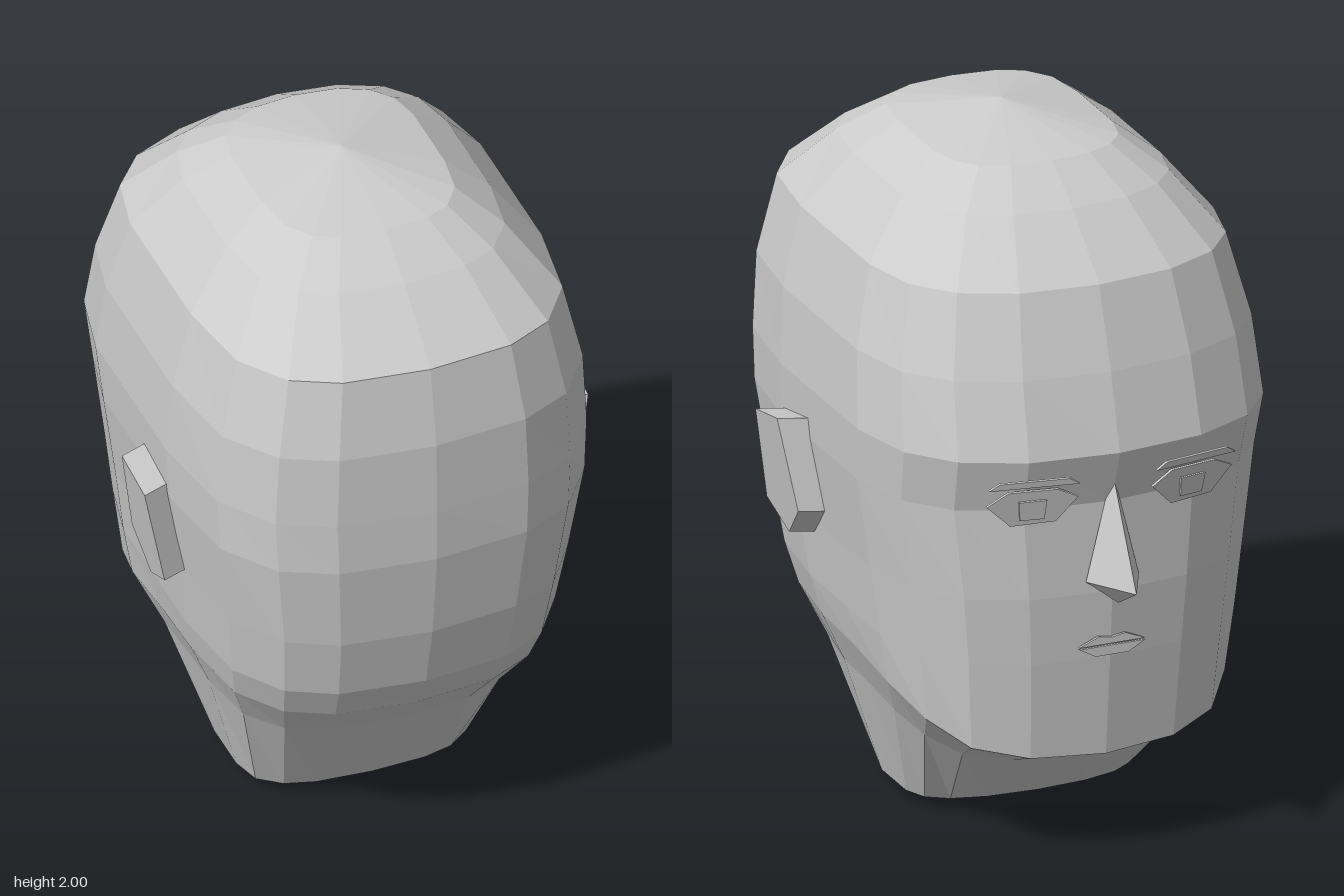
import * as THREE from 'three';
import { ConvexGeometry } from 'three/addons/geometries/ConvexGeometry.js';

const V = (x, y, z) => new THREE.Vector3(x, y, z);

// Half outline of a horizontal slice, back of the head to the face: [width, depth]
const HALF = [[0, 1], [0.48, 0.96], [0.74, 0.86], [0.93, 0.65], [1, 0.28], [1, -0.05],
  [1, -0.41], [0.92, -0.68], [0.74, -0.85], [0.44, -0.96], [0, -1]];
// How strongly each outline point follows the drop towards the chin
const DROP = [0, 0, 0, 0, 0, 0.06, 0.2, 0.48, 0.8, 0.95, 1];

// Slices from crown to neck: [y, half width, back z, face z, drop at the face]
const SLICES = [
  [1.94, 0.27, 0.44, -0.25, 0],
  [1.85, 0.39, 0.58, -0.39, 0],
  [1.69, 0.52, 0.775, -0.57, 0],
  [1.46, 0.575, 0.82, -0.65, 0],
  [1.24, 0.59, 0.825, -0.71, 0],   // brow ridge
  [1.08, 0.58, 0.825, -0.66, 0],
  [0.81, 0.54, 0.79, -0.66, 0],
  [0.61, 0.515, 0.74, -0.645, 0],
  [0.5, 0.49, 0.68, -0.615, 0.19], // jaw line
  [0.36, 0.43, 0.55, -0.43, 0.12], // top of the neck
  [0.03, 0.335, 0.33, -0.15, 0],
];

function flat(geometry) {
  const g = geometry.index ? geometry.toNonIndexed() : geometry;
  g.computeVertexNormals();
  return g;
}

function headGeometry() {
  const count = (HALF.length - 1) * 2;
  const points = [], index = [];
  for (const [y, w, back, face, drop] of SLICES) {
    const mid = (back + face) / 2, depth = (back - face) / 2;
    for (let i = 0; i < count; i++) {
      const k = i < HALF.length ? i : count - i;
      const side = i < HALF.length ? 1 : -1;
      points.push(side * HALF[k][0] * w, y - DROP[k] * drop, mid + HALF[k][1] * depth);
    }
  }
  const top = points.length / 3, bottom = top + 1;
  points.push(0, 2, 0.1, 0, 0, 0.08);
  const last = (SLICES.length - 1) * count;
  for (let i = 0; i < count; i++) {
    const j = (i + 1) % count;
    index.push(top, i, j, bottom, last + j, last + i);
    for (let r = 0; r < last; r += count) {
      index.push(r + i, r + count + i, r + count + j, r + i, r + count + j, r + j);
    }
  }
  const g = new THREE.BufferGeometry();
  g.setAttribute('position', new THREE.Float32BufferAttribute(points, 3));
  g.setIndex(index);
  return flat(g);
}

// Wedge-shaped ear whose outer face leans outward towards the top
function earGeometry(side) {
  const outline = [[1.11, 0.29], [1.14, 0.13], [0.87, 0.09], [0.77, 0.19], [0.83, 0.32]];
  const points = [];
  for (const [y, z] of outline) {
    const x = 0.605 + (y - 0.8) * 0.17;
    points.push(V(side * x, y, z), V(side * (x - 0.1), y, z - 0.04));
  }
  return flat(new ConvexGeometry(points));
}

// Thin plate cut from an outline in the xy plane
function plate(outline) {
  const shape = new THREE.Shape(outline.map(([x, y]) => new THREE.Vector2(x, y)));
  return flat(new THREE.ExtrudeGeometry(shape, { depth: 0.008, bevelEnabled: false }));
}

export function createModel() {
  const model = new THREE.Group();
  const skin = new THREE.MeshStandardMaterial({ color: 0xcccccc });
  skin.name = 'plain grey';
  const add = (name, geometry, parent = model) => {
    const mesh = new THREE.Mesh(geometry, skin);
    mesh.name = name;
    parent.add(mesh);
    return mesh;
  };

  add('head', headGeometry());

  // Nose
  add('nose', flat(new ConvexGeometry([V(0, 1.17, -0.66), V(0, 0.86, -0.825),
    V(0.08, 0.85, -0.66), V(-0.08, 0.85, -0.66), V(0, 0.79, -0.7)])));

  // Mouth: two thin lips
  const upperLip = [[-0.1, 0], [0.1, 0], [0.04, 0.025], [0, 0.018], [-0.04, 0.025]];
  const lowerLip = [[-0.1, 0], [-0.05, -0.028], [0.05, -0.028], [0.1, 0]];
  add('upperLip', plate(upperLip)).position.set(0, 0.655, -0.659);
  add('lowerLip', plate(lowerLip)).position.set(0, 0.65, -0.659);

  // Ears and eyes on both sides
  for (const side of [1, -1]) {
    add(side > 0 ? 'leftEar' : 'rightEar', earGeometry(side));

    const eye = new THREE.Group();
    eye.name = side > 0 ? 'leftEye' : 'rightEye';
    const lid = [[-0.13, 0.03], [-0.07, -0.045], [0.06, -0.05], [0.13, 0.02], [0.07, 0.06], [-0.07, 0.06]];
    const iris = [[-0.035, -0.03], [0.035, -0.03], [0.04, 0.03], [-0.04, 0.03]];
    const lash = [[-0.13, 0.08], [0.13, 0.08], [0.1, 0.1], [-0.1, 0.1]];
    add('eyelids', plate(lid), eye);
    add('iris', plate(iris), eye).position.z = -0.006;
    add('upperLid', plate(lash), eye).position.z = -0.012;
    eye.position.set(side * 0.24, 1.09, -0.655);
    eye.rotation.set(-0.2, side * -0.17, 0, 'YXZ');
    model.add(eye);
  }
  return model;
}
